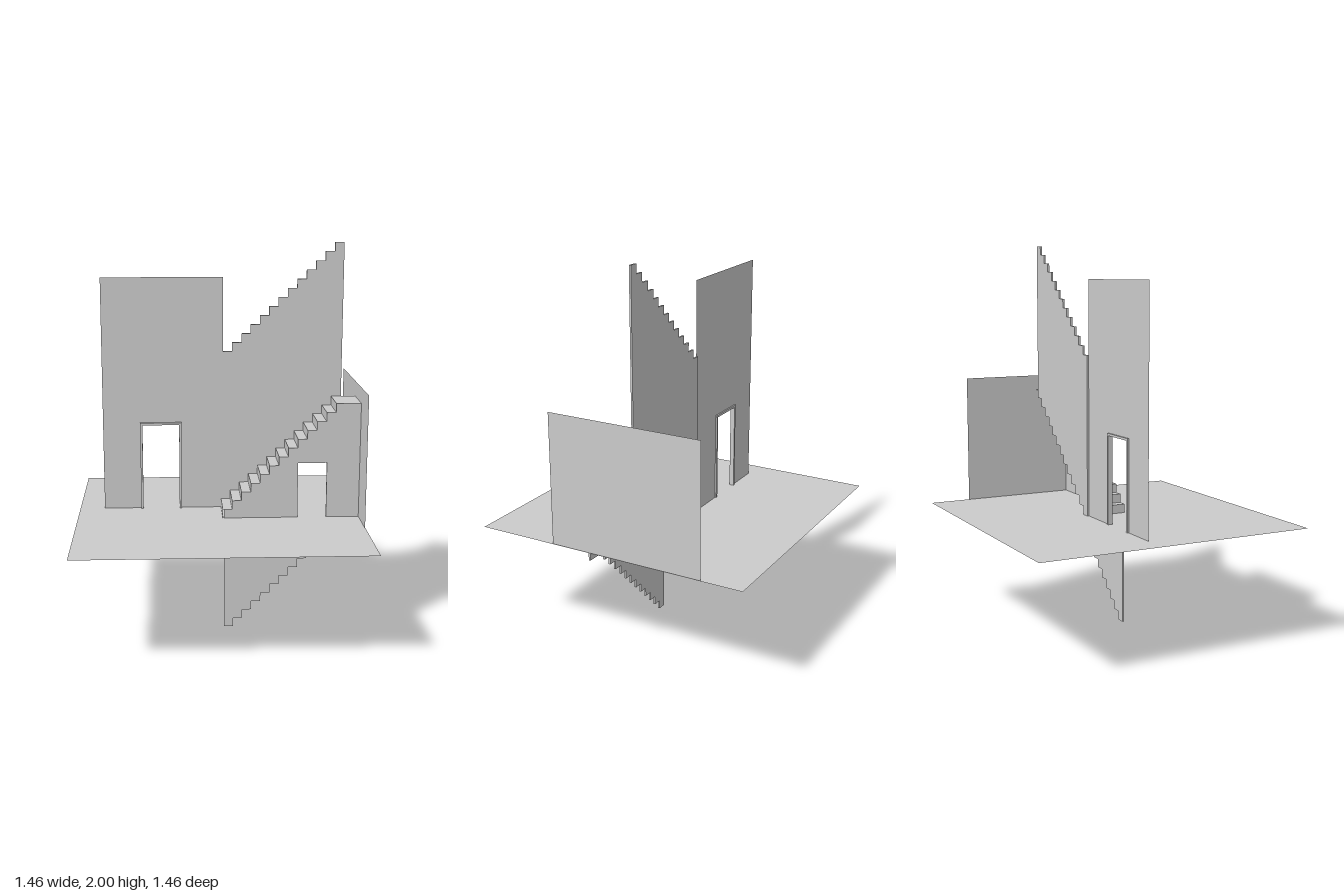
import * as THREE from 'three';

const material = new THREE.MeshStandardMaterial({ color: 0xcccccc, side: THREE.DoubleSide, flatShading: true });
const STEPS = 12;
const FLOOR = 0.6;

function add(parent, name, geometry, x = 0, y = 0, z = 0) {
  const mesh = new THREE.Mesh(geometry, material);
  mesh.name = name;
  mesh.position.set(x, y, z);
  parent.add(mesh);
  return mesh;
}

// Stepped line climbing to the right: a flat run, then a rise, ending on a flat run to xEnd
function steppedLine(x0, y0, run, rise, xEnd) {
  const points = [];
  for (let i = 0; i <= STEPS; i++) {
    const y = y0 + i * rise;
    points.push(new THREE.Vector2(x0 + i * run, y));
    points.push(new THREE.Vector2(i < STEPS ? x0 + (i + 1) * run : xEnd, y));
  }
  return points;
}

function rectHole(x0, x1, y0, y1) {
  return new THREE.Path([[x0, y0], [x0, y1], [x1, y1], [x1, y0]].map(p => new THREE.Vector2(...p)));
}

const extrude = (shape, depth) => new THREE.ExtrudeGeometry(shape, { depth, bevelEnabled: false });

export function createModel() {
  const model = new THREE.Group();
  model.name = 'stairHall';

  // Thin floor sheet
  add(model, 'floor', new THREE.PlaneGeometry(1.46, 1.46), 0, FLOOR, 0).rotation.x = -Math.PI / 2;

  // Sheet wall notched for the doorway
  const doorWall = new THREE.Shape([
    [-0.6, 0.597], [-0.4, 0.597], [-0.4, 1.06], [-0.195, 1.06],
    [-0.195, 0.597], [0.03, 0.597], [0.03, 1.825], [-0.6, 1.825],
  ].map(p => new THREE.Vector2(...p)));
  add(model, 'doorWall', new THREE.ShapeGeometry(doorWall), 0, 0, -0.108);

  // Door frame: two jambs and a lintel
  const frame = new THREE.Group();
  frame.name = 'doorFrame';
  for (const x of [-0.4, -0.195]) {
    add(frame, 'jamb', new THREE.BoxGeometry(0.012, 0.465, 0.024), x, 0.8325, -0.104);
  }
  add(frame, 'lintel', new THREE.BoxGeometry(0.217, 0.012, 0.024), -0.2975, 1.06, -0.104);
  model.add(frame);

  // Back stair wall, stepped along both its top and bottom edges
  const backLower = steppedLine(0.03, FLOOR, 0.0479, 0.0467, 0.652);
  const backUpper = steppedLine(0.03, 1.44, 0.0479, 0.0467, 0.652);
  const backWall = new THREE.Shape([...backLower, ...backUpper.reverse()]);
  add(model, 'backStairWall', extrude(backWall, 0.01), 0, 0, -0.118);

  // Front stair wall, running below the floor and pierced by an opening
  const rise = FLOOR / (STEPS + 1);
  const treadLine = steppedLine(0.02, FLOOR + rise, 0.0483, rise, 0.727);
  const frontLower = steppedLine(0.027, 0, 0.0479, 0.0467, 0.727);
  const frontUpper = treadLine.map(p => new THREE.Vector2(Math.max(p.x, 0.027), p.y));
  const frontWall = new THREE.Shape([...frontLower, ...frontUpper.reverse()]);
  frontWall.holes.push(rectHole(0.408, 0.557, 0.595, 0.89));
  add(model, 'frontStairWall', extrude(frontWall, 0.01), 0, 0, 0.088);

  // Stair made of sheet risers and treads, ending in a landing
  const stair = new THREE.Group();
  stair.name = 'stair';
  const width = 0.2, zMid = -0.003;
  const profile = [new THREE.Vector2(0.02, 0.597), ...treadLine];
  for (let i = 0; i < profile.length - 1; i++) {
    const a = profile[i], b = profile[i + 1];
    const isTread = i % 2 === 1;
    const name = !isTread ? 'riser' : i === profile.length - 2 ? 'landing' : 'tread';
    const mesh = add(stair, name, new THREE.PlaneGeometry(a.distanceTo(b), width),
      (a.x + b.x) / 2, (a.y + b.y) / 2, zMid);
    mesh.rotation.set(-Math.PI / 2, isTread ? 0 : -Math.PI / 2, 0);
  }
  model.add(stair);

  // Side wall closing the landing
  add(model, 'sideWall', new THREE.PlaneGeometry(0.82, 0.68), 0.727, 0.94, -0.103).rotation.y = Math.PI / 2;

  return model;
}
